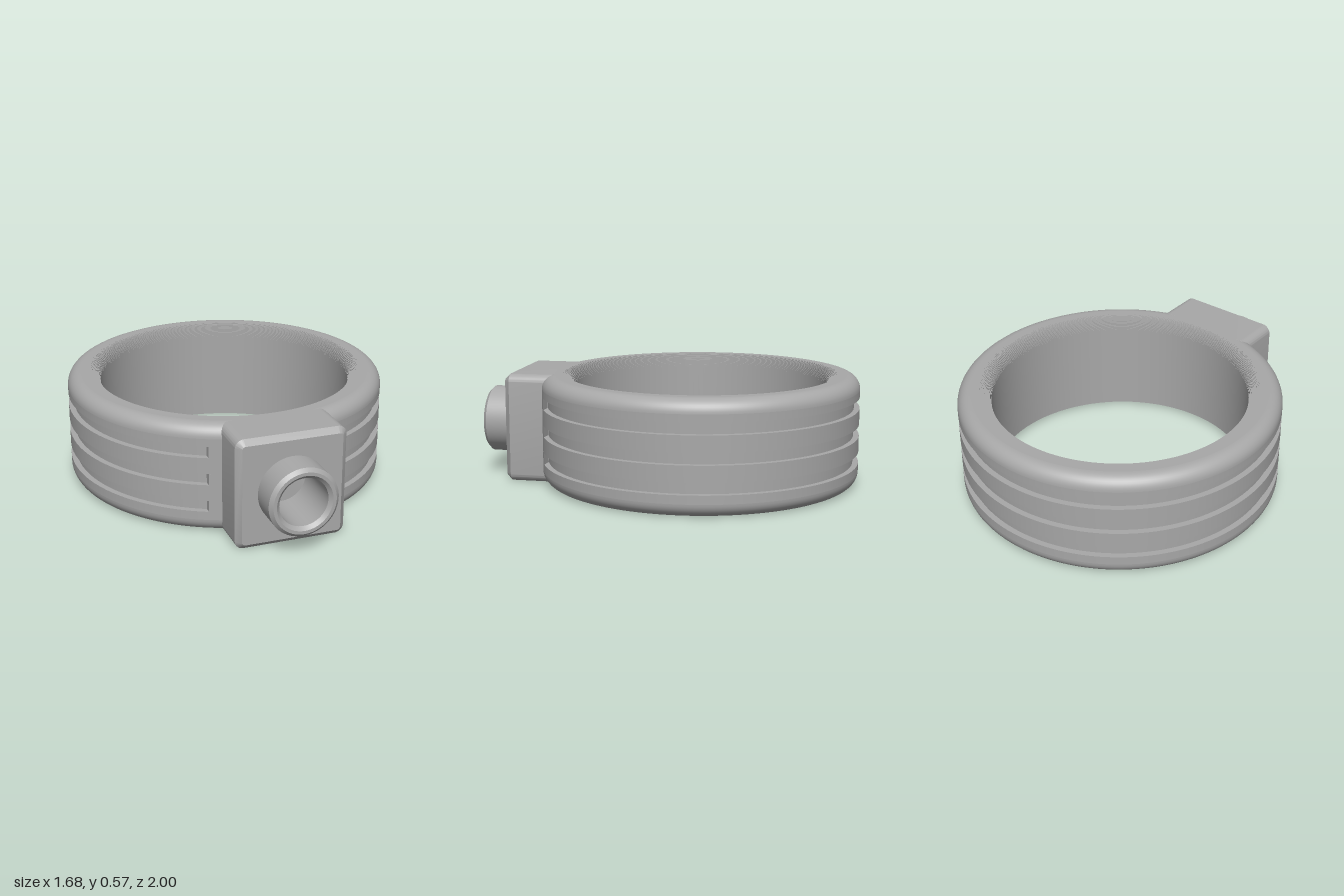
import * as THREE from 'three';
import { mergeGeometries, toCreasedNormals } from 'three/addons/utils/BufferGeometryUtils.js';

const H = 0.575, OUTER = 0.84, INNER = 0.665, CORE = 0.81, FILLET = 0.07;
const RING_Z = -0.16, SEG = 128;
const grooves = [[0.115, 0.175], [0.26, 0.32], [0.405, 0.465]];

// Revolve runs of [radius, y]; each run is smooth, edges between runs stay sharp
function revolve(runs, segments) {
  return mergeGeometries(runs.map((run) => {
    const g = new THREE.LatheGeometry(run.map(([r, y]) => new THREE.Vector2(r, y)), segments);
    g.normalizeNormals();
    return g;
  }));
}

// Split a polyline into straight sharp-edged runs
const sharp = (pts) => pts.slice(1).map((p, i) => [pts[i], p]);

// Quarter-circle points from angle a to b
function arc(cx, cy, r, a, b, n) {
  return Array.from({ length: n + 1 }, (_, i) => {
    const t = a + ((b - a) * i) / n;
    return [cx + r * Math.cos(t), cy + r * Math.sin(t)];
  });
}

function ringGeometry() {
  const q = Math.PI / 2, ro = OUTER - FILLET, ri = INNER + FILLET;

  // Grooved outer wall, bottom to top
  const wall = [[OUTER, FILLET]];
  for (const [a, b] of grooves) wall.push([OUTER, a], [CORE, a], [CORE, b], [OUTER, b]);
  wall.push([OUTER, H - FILLET]);

  // Inner edges rounded by fine steps
  const top = arc(ri, H - FILLET, FILLET, q, 2 * q, 16);
  const steps = [top[0]];
  for (let i = 1; i < top.length; i++) steps.push([top[i][0], top[i - 1][1]], top[i]);
  const lowerSteps = steps.map(([r, y]) => [r, H - y]).reverse();

  return revolve([
    [[ri, 0], [ro, 0]],
    arc(ro, FILLET, FILLET, -q, 0, 10),
    ...sharp(wall),
    arc(ro, H - FILLET, FILLET, 0, q, 10),
    [[ro, H], [ri, H]],
    ...sharp([...steps, ...lowerSteps]),
  ], SEG);
}

// Solid front filling that ends each groove in a plane at x = +-0.345
function grooveStopGeometry(height) {
  const half = Math.asin(0.345 / OUTER), s = new THREE.Shape();
  s.moveTo(0.345, 0.7);
  s.absarc(0, 0, OUTER, Math.PI / 2 - half, Math.PI / 2 + half, false);
  s.lineTo(-0.345, 0.7);
  s.closePath();
  const g = new THREE.ExtrudeGeometry(s, { depth: height, bevelEnabled: false, curveSegments: 20 });
  g.rotateX(Math.PI / 2);
  return toCreasedNormals(g, 0.5);
}

// Rounded rectangular block with chamfered face and a round hole
function blockGeometry() {
  const w = 0.285, h = H / 2, r = 0.045, c = 0.028, s = new THREE.Shape();
  s.moveTo(-w + r, -h);
  s.absarc(w - r, -h + r, r, -Math.PI / 2, 0, false);
  s.absarc(w - r, h - r, r, 0, Math.PI / 2, false);
  s.absarc(-w + r, h - r, r, Math.PI / 2, Math.PI, false);
  s.absarc(-w + r, -h + r, r, Math.PI, Math.PI * 1.5, false);
  const hole = new THREE.Path();
  hole.absarc(0, 0, 0.135, 0, Math.PI * 2, true);
  s.holes.push(hole);
  const g = new THREE.ExtrudeGeometry(s, {
    depth: 0.84 - 0.555 - 2 * c, bevelEnabled: true, bevelThickness: c,
    bevelSize: c, bevelOffset: -c, bevelSegments: 1, curveSegments: 12,
  });
  g.translate(0, 0, 0.555 + c);
  return toCreasedNormals(g, 0.5);
}

export function createModel() {
  const model = new THREE.Group();
  model.name = 'ringClamp';
  const grey = new THREE.MeshStandardMaterial({ color: 0xa8a8a8 });
  grey.name = 'grey';

  const add = (name, geometry, x, y, z) => {
    const mesh = new THREE.Mesh(geometry, grey);
    mesh.name = name;
    mesh.position.set(x, y, z);
    model.add(mesh);
    return mesh;
  };

  add('groovedRing', ringGeometry(), 0, 0, RING_Z);
  for (const [a, b] of grooves) add('grooveStop', grooveStopGeometry(b - a), 0, b, RING_Z);
  add('mountBlock', blockGeometry(), 0, H / 2, 0);

  // Hollow spout with chamfered lip and a blind bore
  const spout = add('spout', revolve(sharp([
    [0.178, 0.8], [0.178, 0.982], [0.16, 1], [0.143, 1], [0.125, 0.982], [0.125, 0.7], [0, 0.7],
  ]), 64), 0, H / 2, 0);
  spout.rotation.x = Math.PI / 2;

  return model;
}
